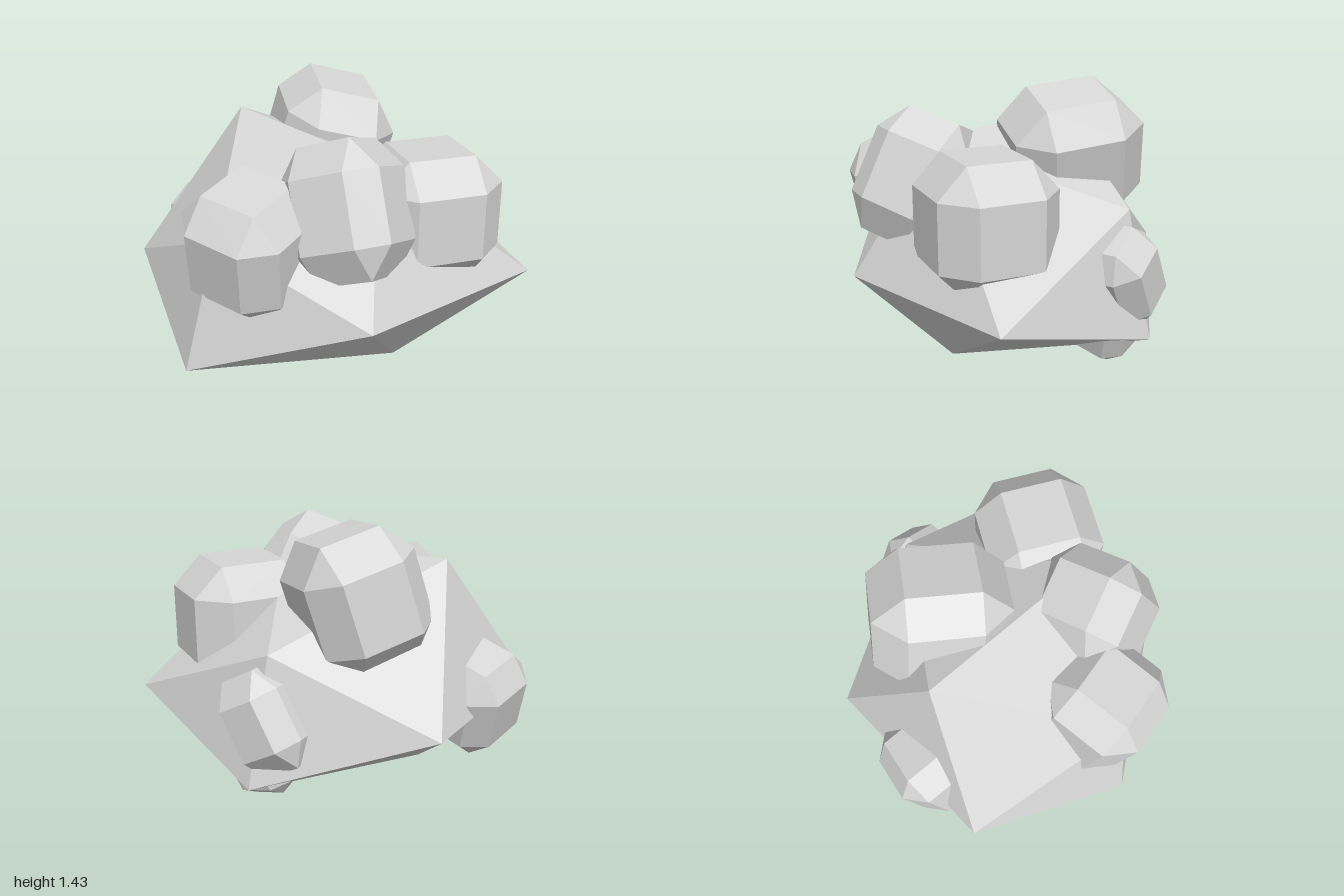
import * as THREE from 'three';
import { ConvexGeometry } from 'three/addons/geometries/ConvexGeometry.js';

const V = (a) => new THREE.Vector3(...a);

// Unit cube with every edge and corner cut away (half size 1)
function cutCube(inner) {
  const points = [];
  for (const x of [-1, 1]) for (const y of [-1, 1]) for (const z of [-1, 1]) {
    points.push(
      V([x, y * inner, z * inner]),
      V([x * inner, y, z * inner]),
      V([x * inner, y * inner, z]),
    );
  }
  return new ConvexGeometry(points);
}

export function createModel() {
  const model = new THREE.Group();
  model.name = 'rockCluster';
  const stone = new THREE.MeshStandardMaterial({ color: 0xd6d6d6 });
  stone.name = 'grey stone';

  // Large twelve-cornered boulder
  const corners = [
    [-0.06, 0.42, 0.92], [1, 0.42, 0.52], [0.62, 0.82, -0.37],
    [-0.06, 0.42, -0.92], [-1, 0.42, -0.4], [-0.92, 0.14, 0.52],
    [-0.38, 1.21, -0.45], [-0.74, 0.83, 0.5], [0.1, 1.15, 0.5],
    [0.77, 0.14, -0.43], [0.23, 0, 0.47], [-0.3, 0.05, -0.35],
  ];
  const boulder = new THREE.Mesh(new ConvexGeometry(corners.map(V)), stone);
  boulder.name = 'boulder';
  model.add(boulder);

  // Smaller blocks half sunk into the boulder: centre, half sizes, up and front directions
  const blocks = [
    { name: 'frontLeftBlock', at: [0.445, 0.8, 0.36], half: [0.345, 0.34, 0.32], up: [0, 1, 0], front: [0, 0, 1] },
    { name: 'frontRightBlock', at: [-0.54, 0.76, 0.42], half: [0.3, 0.325, 0.3], up: [-0.07, 0.96, 0.22], front: [-0.77, 0, 0.64] },
    { name: 'frontMiddleBlock', at: [-0.065, 0.915, 0.53], half: [0.28, 0.35, 0.28], up: [-0.03, 0.9, -0.43], front: [0.72, 0.3, 0.64] },
    { name: 'topBlock', at: [0.08, 1.02, -0.3], half: [0.31, 0.36, 0.365], up: [0.25, 0.95, 0.14], front: [-0.13, -0.16, 0.97] },
    { name: 'sideBlock', at: [0.57, 0.46, -0.31], half: [0.24, 0.27, 0.2], up: [0.25, 0.85, 0.4], front: [0.5, -0.4, 0.77] },
    { name: 'lowBlock', at: [0.6, 0.21, -0.27], half: [0.16, 0.16, 0.18], up: [0.35, 0.9, 0.1], front: [0.5, -0.1, 0.85] },
    { name: 'backBlock', at: [-0.54, 0.44, -0.51], half: [0.25, 0.28, 0.24], up: [0.1, 0.92, -0.32], front: [0.35, 0.25, 0.9] },
  ];
  const blockGeometry = cutCube(0.53);
  for (const { name, at, half, up, front } of blocks) {
    const mesh = new THREE.Mesh(blockGeometry, stone);
    const y = V(up).normalize();
    const x = y.clone().cross(V(front)).normalize();
    const z = x.clone().cross(y);
    mesh.quaternion.setFromRotationMatrix(new THREE.Matrix4().makeBasis(x, y, z));
    mesh.position.set(...at);
    mesh.scale.set(...half);
    mesh.name = name;
    model.add(mesh);
  }
  return model;
}
